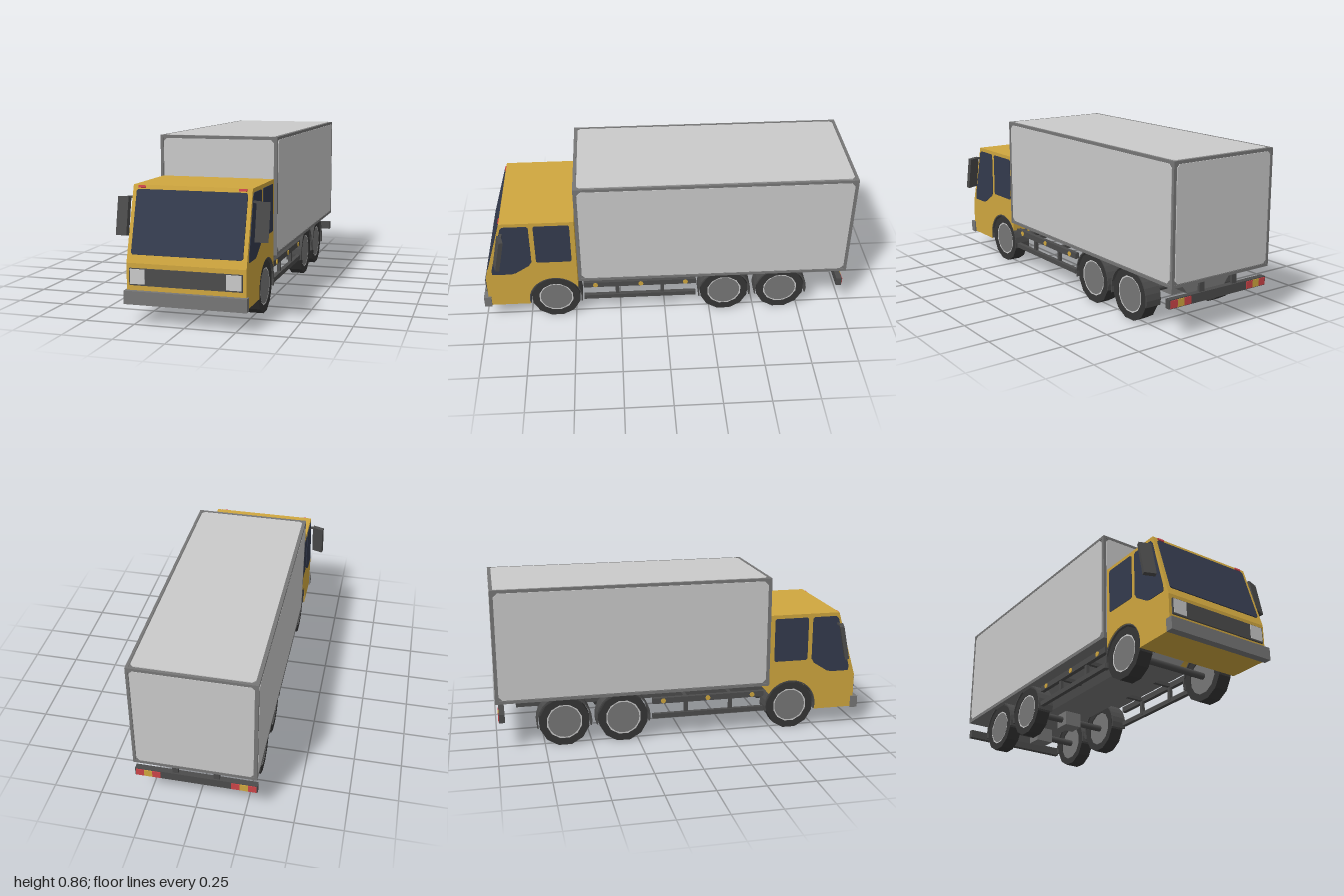
import * as THREE from 'three';

const mat = (name, color) => Object.assign(new THREE.MeshStandardMaterial({ color }), { name });

export function createModel() {
  const M = {
    yellow: mat('cab yellow', 0xd0a73f),
    light: mat('panel light grey', 0xcacaca),
    mid: mat('frame grey', 0x777777),
    dark: mat('trim dark grey', 0x4c4c4c),
    tyre: mat('tyre black', 0x363636),
    glass: mat('window navy', 0x343b4e),
    red: mat('lamp red', 0xcc4448),
  };
  const truck = new THREE.Group();
  truck.name = 'boxTruck';

  const add = (name, geometry, material, parent = truck) => {
    const mesh = new THREE.Mesh(geometry, material);
    mesh.name = name;
    parent.add(mesh);
    return mesh;
  };
  // Box given by its extents on each axis
  const block = (name, x0, x1, y0, y1, z0, z1, material) => {
    const g = new THREE.BoxGeometry(Math.abs(x1 - x0), y1 - y0, z1 - z0);
    g.translate((x0 + x1) / 2, (y0 + y1) / 2, (z0 + z1) / 2);
    return add(name, g, material);
  };
  const faceted = (g) => {
    const f = g.toNonIndexed();
    f.computeVertexNormals();
    return f;
  };
  // Extrude a (z, y) outline across the width between two x positions
  const sideExtrude = (shape, x0, x1, curveSegments = 6) => {
    const g = new THREE.ExtrudeGeometry(shape, { depth: x1 - x0, bevelEnabled: false, curveSegments });
    return g.rotateY(-Math.PI / 2).translate(x1, 0, 0);
  };
  const polygon = (pts) => new THREE.Shape(pts.map(([a, b]) => new THREE.Vector2(a, b)));
  // Rectangle with small cut corners
  const cutRect = (w, h, c) => {
    const a = w / 2, b = h / 2;
    return polygon([[-a + c, -b], [a - c, -b], [a, -b + c], [a, b - c],
      [a - c, b], [-a + c, b], [-a, b - c], [-a, -b + c]]);
  };
  const plate = (w, h, c, t = 0.005) =>
    new THREE.ExtrudeGeometry(cutRect(w, h, c), { depth: t, bevelEnabled: false });

  // Cargo box: grey frame with a light panel on five faces
  block('cargoFrame', -0.307, 0.307, 0.26, 0.857, -0.997, 0.471, M.mid);
  const cz = -0.263, cy = 0.5615;
  add('frontPanel', plate(0.585, 0.565, 0.015).translate(0, cy, 0.47), M.light);
  add('backPanel', plate(0.585, 0.565, 0.015).rotateY(Math.PI).translate(0, cy, -0.996), M.light);
  add('roofPanel', plate(0.585, 1.437, 0.015).rotateX(-Math.PI / 2).translate(0, 0.856, cz), M.light);
  for (const s of [-1, 1]) {
    add('sidePanel', plate(1.437, 0.565, 0.02).rotateY(s * Math.PI / 2).translate(s * 0.306, cy, cz), M.light);
  }
  // Frame edges stand level with the panels
  for (const s of [-1, 1]) {
    for (const y of [0.26, 0.845]) block('edgeRail', s * 0.297, s * 0.311, y, y + 0.015, -1, 0.475, M.mid);
    for (const z of [-1, 0.461]) block('cornerPost', s * 0.297, s * 0.311, 0.26, 0.86, z, z + 0.014, M.mid);
  }
  for (const y of [0.26, 0.845]) {
    for (const z of [-1, 0.461]) block('crossRail', -0.3, 0.3, y, y + 0.015, z, z + 0.014, M.mid);
  }

  // Cab with wheel arches and sloped front
  const WY = 0.13, FZ = 0.605, R = 0.146;
  const cab = polygon([[0.975, 0.1], [0.975, 0.29], [0.87, 0.65], [0.48, 0.65], [0.48, 0.2055]]);
  cab.absarc(FZ, WY, R, Math.atan2(0.0755, -0.125), Math.atan2(-0.03, 0.143), true);
  add('cab', sideExtrude(cab, -0.295, 0.295, 12), M.yellow);

  // Windscreen and roof lamps lie on the slope
  const tilt = -Math.atan2(0.105, 0.36);
  const onSlope = (mesh, x, y) => {
    mesh.position.set(x, y, 0.975 - (y - 0.29) * 0.2917);
    mesh.rotation.x = tilt;
  };
  onSlope(add('windscreen', plate(0.55, 0.313, 0.008), M.glass), 0, 0.479);
  for (const s of [-1, 1]) onSlope(add('roofLamp', plate(0.038, 0.012, 0.001), M.red), s * 0.25, 0.641);

  // Side windows
  const frontWindow = polygon([[0.938, 0.318], [0.938, 0.345], [0.868, 0.615], [0.855, 0.63], [0.73, 0.63],
    [0.72, 0.62], [0.72, 0.395], [0.735, 0.37], [0.81, 0.322], [0.835, 0.315], [0.93, 0.315]].reverse());
  const rearWindow = cutRect(0.19, 0.24, 0.008);
  for (const s of [-1, 1]) {
    const x = s * 0.2955;
    add('frontSideWindow', sideExtrude(frontWindow, x - 0.0025, x + 0.0025), M.glass);
    add('rearSideWindow', sideExtrude(rearWindow, x - 0.0025, x + 0.0025).translate(0, 0.51, 0.6), M.glass);
  }

  // Grille, headlights and bumper
  block('grille', -0.279, 0.279, 0.185, 0.267, 0.97, 0.983, M.dark);
  for (const s of [-1, 1]) block('headlight', s * 0.2, s * 0.274, 0.192, 0.264, 0.98, 0.986, M.light);
  block('frontBumper', -0.303, 0.303, 0.095, 0.16, 0.96, 1, M.mid);

  // Mirrors on short arms
  for (const s of [-1, 1]) {
    const mirror = add('mirror', new THREE.BoxGeometry(0.064, 0.188, 0.022), M.dark);
    mirror.position.set(s * 0.345, 0.498, 0.884);
    mirror.rotation.set(-0.2, s * 0.27, 0);
    block('mirrorArm', s * 0.29, s * 0.33, 0.583, 0.593, 0.858, 0.87, M.dark);
  }

  // Wheels, axles and mudguards
  const tyreGeo = faceted(new THREE.LatheGeometry(
    [[0.096, -0.0375], [0.1345, -0.0375], [0.1345, 0.0375], [0.096, 0.0375], [0.096, -0.0375]]
      .map(([r, y]) => new THREE.Vector2(r, y)), 12, Math.PI / 12)).rotateZ(Math.PI / 2);
  const rimGeo = new THREE.CylinderGeometry(0.098, 0.098, 0.066, 24).rotateZ(Math.PI / 2);
  const ringGeo = new THREE.RingGeometry(0.087, 0.096, 24);
  for (const z of [FZ, -0.33, -0.645]) {
    for (const s of [-1, 1]) {
      const wheel = new THREE.Group();
      wheel.name = 'wheel';
      wheel.position.set(s * 0.247, WY, z);
      truck.add(wheel);
      add('tyre', tyreGeo, M.tyre, wheel);
      add('rim', rimGeo, M.mid, wheel);
      const ring = add('rimRing', ringGeo, M.light, wheel);
      ring.position.x = s * 0.035;
      ring.rotation.y = s * Math.PI / 2;

      const arc = new THREE.Shape();
      arc.absarc(z, WY, 0.147, -0.2, Math.PI + 0.2, false);
      arc.absarc(z, WY, 0.14, Math.PI + 0.2, -0.2, true);
      const x = s * 0.247;
      add('mudguard', sideExtrude(arc, x - 0.043, x + 0.046, 8), M.dark);
    }
    const axle = add('axle', new THREE.CylinderGeometry(0.018, 0.018, 0.44, 10).rotateZ(Math.PI / 2), M.dark);
    axle.position.set(0, WY, z);
    if (z < 0) block('axleHousing', -0.05, 0.05, 0.09, 0.18, z - 0.045, z + 0.045, M.mid);
  }

  // Chassis beam with sloped sides
  const beam = polygon([[-0.12, 0.17], [0.12, 0.17], [0.19, 0.262], [-0.19, 0.262]]);
  add('chassis', new THREE.ExtrudeGeometry(beam, { depth: 1.4, bevelEnabled: false }).translate(0, 0, -0.89), M.mid);

  // Side guards with marker lamps
  for (const s of [-1, 1]) {
    block('upperGuardRail', s * 0.265, s * 0.288, 0.193, 0.224, -0.17, 0.45, M.dark);
    block('lowerGuardRail', s * 0.265, s * 0.288, 0.11, 0.135, -0.17, 0.45, M.dark);
    for (const z of [0.265, 0.015]) {
      block('guardPost', s * 0.262, s * 0.28, 0.12, 0.2, z - 0.01, z + 0.01, M.dark);
      block('guardBracket', s * 0.14, s * 0.27, 0.2, 0.22, z - 0.01, z + 0.01, M.dark);
    }
    for (const z of [0.385, 0.135, -0.112]) {
      const lamp = add('sideMarker', new THREE.CylinderGeometry(0.014, 0.014, 0.006, 8).rotateZ(Math.PI / 2), M.yellow);
      lamp.position.set(s * 0.289, 0.2085, z);
    }
  }

  // Rear bar, its posts and lamp clusters
  block('rearBar', -0.311, 0.311, 0.157, 0.203, -0.985, -0.955, M.dark);
  for (const s of [-1, 1]) {
    block('rearBarPost', s * 0.09, s * 0.12, 0.2, 0.262, -0.978, -0.964, M.dark);
    [M.red, M.yellow, M.red].forEach((m, i) => {
      const x = 0.18 + i * 0.042;
      block('rearLamp', s * x, s * (x + 0.042), 0.161, 0.199, -0.989, -0.984, m);
    });
  }
  return truck;
}
